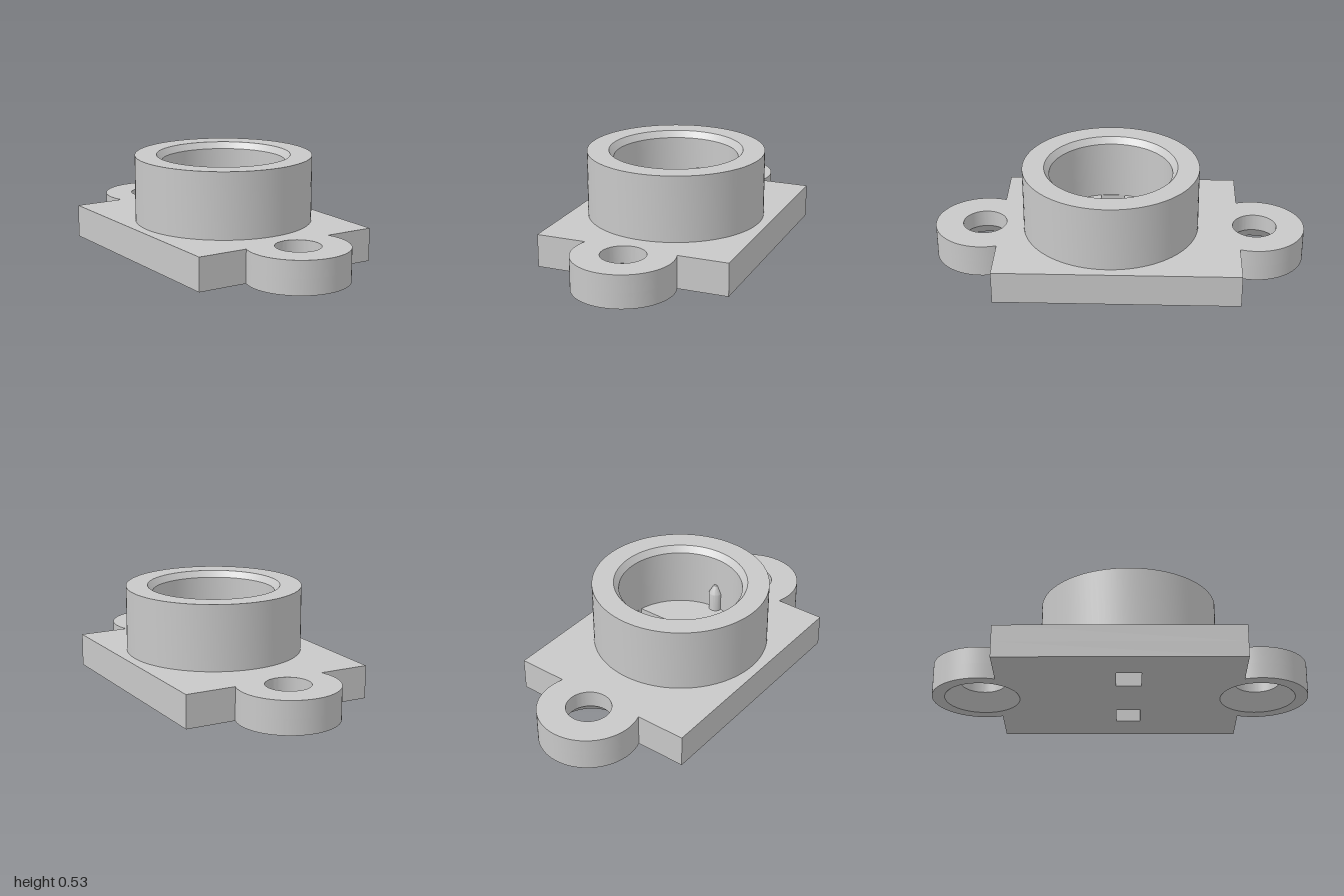
import * as THREE from 'three';
import { toCreasedNormals } from 'three/addons/utils/BufferGeometryUtils.js';

const HALF_W = 0.525, HALF_L = 0.645, PLATE_H = 0.177;
const EAR_Z = 0.733, EAR_R = 0.267, HOLE_R = 0.118;
const SINK_R = 0.2, SINK_H = 0.085;
const BORE_Z = 0.046, BORE_R = 0.33;

// Rectangle with a round ear at each end, drawn with shape y = -z
function plateShape(holeRadius) {
  const shape = new THREE.Shape();
  const a = Math.asin((EAR_Z - HALF_L) / EAR_R);
  shape.moveTo(-HALF_W, HALF_L);
  shape.lineTo(-HALF_W, -HALF_L);
  shape.absarc(0, -EAR_Z, EAR_R, Math.PI - a, Math.PI * 2 + a, false);
  shape.lineTo(HALF_W, -HALF_L);
  shape.lineTo(HALF_W, HALF_L);
  shape.absarc(0, EAR_Z, EAR_R, -a, Math.PI + a, false);
  shape.closePath();

  for (const s of [-1, 1]) {
    const screwHole = new THREE.Path();
    screwHole.absarc(0, s * EAR_Z, holeRadius, 0, Math.PI * 2, true);
    shape.holes.push(screwHole);

    // Rectangular slot through the floor of the socket
    const x0 = s * 0.244 - 0.081, x1 = s * 0.244 + 0.081;
    const y0 = -BORE_Z - 0.066, y1 = -BORE_Z + 0.066;
    shape.holes.push(new THREE.Path([
      new THREE.Vector2(x0, y0), new THREE.Vector2(x0, y1),
      new THREE.Vector2(x1, y1), new THREE.Vector2(x1, y0),
    ]));
  }
  return shape;
}

function layer(holeRadius, y, height) {
  const geo = new THREE.ExtrudeGeometry(plateShape(holeRadius), {
    depth: height, bevelEnabled: false, curveSegments: 48,
  });
  geo.rotateX(-Math.PI / 2);
  geo.translate(0, y, 0);
  return toCreasedNormals(geo, 0.5);
}

function lathe(points, segments) {
  const geo = new THREE.LatheGeometry(points.map(([r, y]) => new THREE.Vector2(r, y)), segments);
  return toCreasedNormals(geo, 0.5);
}

export function createModel() {
  const model = new THREE.Group();
  model.name = 'flangedSocket';
  const grey = new THREE.MeshStandardMaterial({ color: 0xc8c8c8 });
  grey.name = 'grey';

  const add = (name, geometry, z = 0) => {
    const mesh = new THREE.Mesh(geometry, grey);
    mesh.name = name;
    mesh.position.z = z;
    model.add(mesh);
  };

  // Mounting plate, with wider screw holes in the lower layer
  add('plateLower', layer(SINK_R, 0, SINK_H));
  add('plateUpper', layer(HOLE_R, SINK_H, PLATE_H - SINK_H));

  // Socket ring with a chamfered mouth
  add('socketRing', lathe([
    [0.473, PLATE_H], [0.473, 0.53], [0.357, 0.53], [BORE_R, 0.496], [BORE_R, PLATE_H],
  ], 96), BORE_Z);

  const countersink = lathe([[HOLE_R, SINK_H], [SINK_R, 0]], 96);
  const pin = lathe([[0.036, PLATE_H], [0.036, 0.28], [0.01, 0.328], [0, 0.328]], 24);
  for (const s of [-1, 1]) {
    // Conical recess under each ear
    add(s > 0 ? 'frontCountersink' : 'backCountersink', countersink, s * EAR_Z);
    // Pointed locating pin half sunk in the bore wall
    add(s > 0 ? 'frontPin' : 'backPin', pin, BORE_Z + s * 0.327);
  }
  return model;
}
